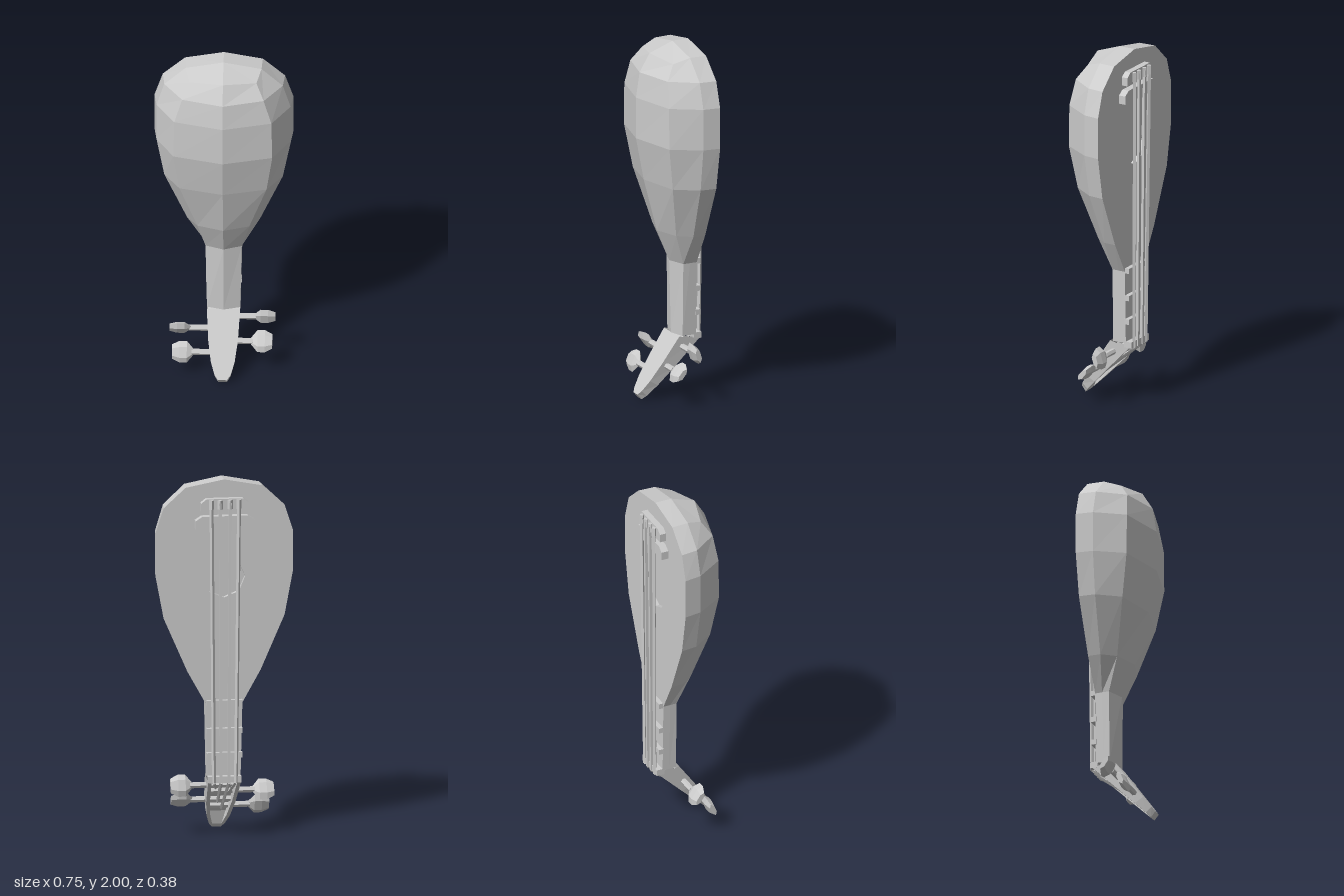
import * as THREE from 'three';

const mat = new THREE.MeshStandardMaterial({ color: 0xcccccc, flatShading: true, side: THREE.DoubleSide });
const V = (x, y, z) => new THREE.Vector3(x, y, z);

function add(parent, name, geo, x = 0, y = 0, z = 0) {
  const m = new THREE.Mesh(geo, mat);
  m.name = name;
  m.position.set(x, y, z);
  parent.add(m);
  return m;
}

// Faceted skin over a list of cross-sections, with an optional cap on the last one
function loft(rings, closed, capCount = 0) {
  const pts = [];
  const n = rings[0].length;
  for (let i = 0; i < rings.length - 1; i++) {
    for (let j = 0; j < (closed ? n : n - 1); j++) {
      const k = (j + 1) % n;
      const [a, b, c, d] = [rings[i][j], rings[i][k], rings[i + 1][k], rings[i + 1][j]];
      pts.push(a, b, c, a, c, d);
    }
  }
  const end = rings[rings.length - 1];
  for (let j = 1; j < capCount - 1; j++) pts.push(end[0], end[j], end[j + 1]);
  const g = new THREE.BufferGeometry().setFromPoints(pts);
  g.computeVertexNormals();
  return g;
}

// Straight rod between two points
function rod(a, b, r, sides) {
  const d = b.clone().sub(a);
  const g = new THREE.CylinderGeometry(r, r, d.length(), sides);
  g.applyQuaternion(new THREE.Quaternion().setFromUnitVectors(V(0, 1, 0), d.clone().normalize()));
  const c = a.clone().add(b).multiplyScalar(0.5);
  return g.translate(c.x, c.y, c.z);
}

// Bar on the soundboard: tapered in x, extruded towards -z
function bar(halfW, halfTop, h, depth) {
  const s = new THREE.Shape([
    new THREE.Vector2(-halfW, -h / 2), new THREE.Vector2(halfW, -h / 2),
    new THREE.Vector2(halfW, h / 6), new THREE.Vector2(halfTop, h / 2),
    new THREE.Vector2(-halfTop, h / 2), new THREE.Vector2(-halfW, h / 6)]);
  return new THREE.ExtrudeGeometry(s, { depth, bevelEnabled: false }).translate(0, 0, -depth);
}

export function createModel() {
  const root = new THREE.Group();
  root.name = 'lute';
  const face = -0.13;

  // Bowl and neck: y, half width, side rib x/z, inner rib x/z, ridge z
  const sections = [
    [1.85, 0.33, 0.32, -0.035, 0.22, 0.107, 0.165],
    [1.71, 0.375, 0.362, -0.035, 0.262, 0.122, 0.187],
    [1.48, 0.375, 0.362, -0.035, 0.267, 0.122, 0.187],
    [1.24, 0.33, 0.32, -0.04, 0.235, 0.085, 0.14],
    [0.94, 0.2, 0.197, -0.06, 0.14, 0.015, 0.06],
    [0.76, 0.1, 0.1, -0.09, 0.098, -0.05, -0.015],
    [0.35, 0.09, 0.09, -0.09, 0.09, -0.05, -0.025]];
  const mirror = (h) => [...h, ...h.slice(0, 3).reverse().map((p) => V(-p.x, p.y, p.z))];
  const ridgeTop = V(0, 1.95, 0.105);
  const rings = [
    mirror([V(0, 2, face), V(0, 2, -0.035), V(0, 2, -0.035), ridgeTop]),
    mirror([V(0.21, 1.96, face), V(0.205, 1.96, -0.035), V(0.18, 1.93, 0.055), ridgeTop]),
    ...sections.map(([y, w, x1, z1, x2, z2, z3]) =>
      mirror([V(w, y, face), V(x1, y, z1), V(x2, y, z2), V(0, y, z3)]))];
  add(root, 'bowlAndNeck', loft(rings, false, 7));

  // Flat soundboard and fingerboard with the sound hole
  const side = rings.slice(1).map((r) => new THREE.Vector2(r[0].x, r[0].y));
  const board = new THREE.Shape([new THREE.Vector2(0, 2),
    ...side.map((p) => new THREE.Vector2(-p.x, p.y)), ...side.reverse()]);
  const holeY = 1.46, holeR = 0.115;
  const ring = [];
  for (let i = 0; i < 8; i++) {
    const a = (i / 8) * Math.PI * 2;
    ring.push(new THREE.Vector2(holeR * Math.cos(a), holeY + holeR * Math.sin(a)));
  }
  board.holes.push(new THREE.Path(ring));
  add(root, 'soundboard', new THREE.ShapeGeometry(board).rotateY(Math.PI), 0, 0, face);
  add(root, 'soundHoleRim', new THREE.CylinderGeometry(holeR, holeR, 0.025, 8, 1, true)
    .rotateY(Math.PI / 2).rotateX(Math.PI / 2), 0, holeY, face + 0.0125);
  add(root, 'soundHoleFloor', new THREE.CircleGeometry(holeR, 8).rotateY(Math.PI), 0, holeY, face + 0.025);

  // Bridge, string holder and frets
  add(root, 'bridge', bar(0.16, 0.125, 0.07, 0.04), 0, 1.77, face);
  add(root, 'stringHolder', bar(0.13, 0.1, 0.07, 0.035), 0, 1.865, face);
  for (const y of [0.765, 0.61, 0.475]) {
    add(root, 'fret', new THREE.BoxGeometry(0.195, 0.03, 0.03), 0, y, face - 0.01);
  }
  add(root, 'nut', new THREE.BoxGeometry(0.18, 0.035, 0.045), 0, 0.342, face - 0.012);

  // Bent-back peg box: a tapering open trough
  const box = [[0, 0.09], [0.45, 0.08], [0.75, 0.064], [0.93, 0.043], [1, 0.024]].map(([t, w], i) => {
    const back = V(0, 0.35, -0.03).lerp(V(0, 0.035, 0.19), t);
    const open = V(0, 0.325, -0.15).lerp(V(0, 0.005, 0.165), t);
    const floor = open.clone().lerp(back, i < 3 ? 0.7 : 0);
    const wi = i < 3 ? w - 0.02 : w * 0.6;
    const at = (p, x) => V(x, p.y, p.z);
    return [at(open, w), at(back, w), at(back, -w), at(open, -w),
      at(open, -wi), at(floor, -wi), at(floor, wi), at(open, wi)];
  });
  add(root, 'pegBox', loft(box, true, 4));

  // Tuning pegs: side, y, z, head distance, twist
  const pegs = [
    [1, 0.29, -0.05, 0.165, 0.3], [-1, 0.245, 0, 0.175, 0.6],
    [1, 0.19, 0.04, 0.15, -0.7], [-1, 0.145, 0.085, 0.16, -0.4]];
  const headProfile = [[0, 0], [0.018, 0], [0.06, 0.035], [0.06, 0.075], [0.04, 0.115], [0, 0.115]]
    .map(([r, y]) => new THREE.Vector2(r, y));
  for (const [s, y, z, d, twist] of pegs) {
    const peg = new THREE.Group();
    peg.name = 'tuningPeg';
    peg.position.set(0, y, z);
    add(peg, 'pegShaft', rod(V(-s * 0.06, 0, 0), V(s * (d + 0.01), 0, 0), 0.017, 6));
    const head = new THREE.LatheGeometry(headProfile, 6).rotateY(Math.PI / 6)
      .scale(1, 1, 0.4).rotateZ(-s * Math.PI / 2).rotateX(twist);
    add(peg, 'pegHead', head, s * d, 0, 0);
    root.add(peg);
  }

  // Strings: over the face to the nut, then down to their pegs
  const ends = [1, 3, 2, 0];
  [-0.075, -0.027, 0.027, 0.075].forEach((x, i) => {
    const top = V(x, 1.88, -0.176);
    const bend = V(x * 0.8, 0.325, -0.163);
    const [, py, pz] = pegs[ends[i]];
    add(root, 'string', rod(top, bend, 0.011, 4));
    add(root, 'stringTail', rod(bend, V(x * 0.5, py - 0.015, pz - 0.015), 0.009, 4));
    add(root, 'stringKnot', new THREE.CylinderGeometry(0.014, 0.014, 0.05, 4), x, 1.87, -0.174);
  });
  return root;
}
